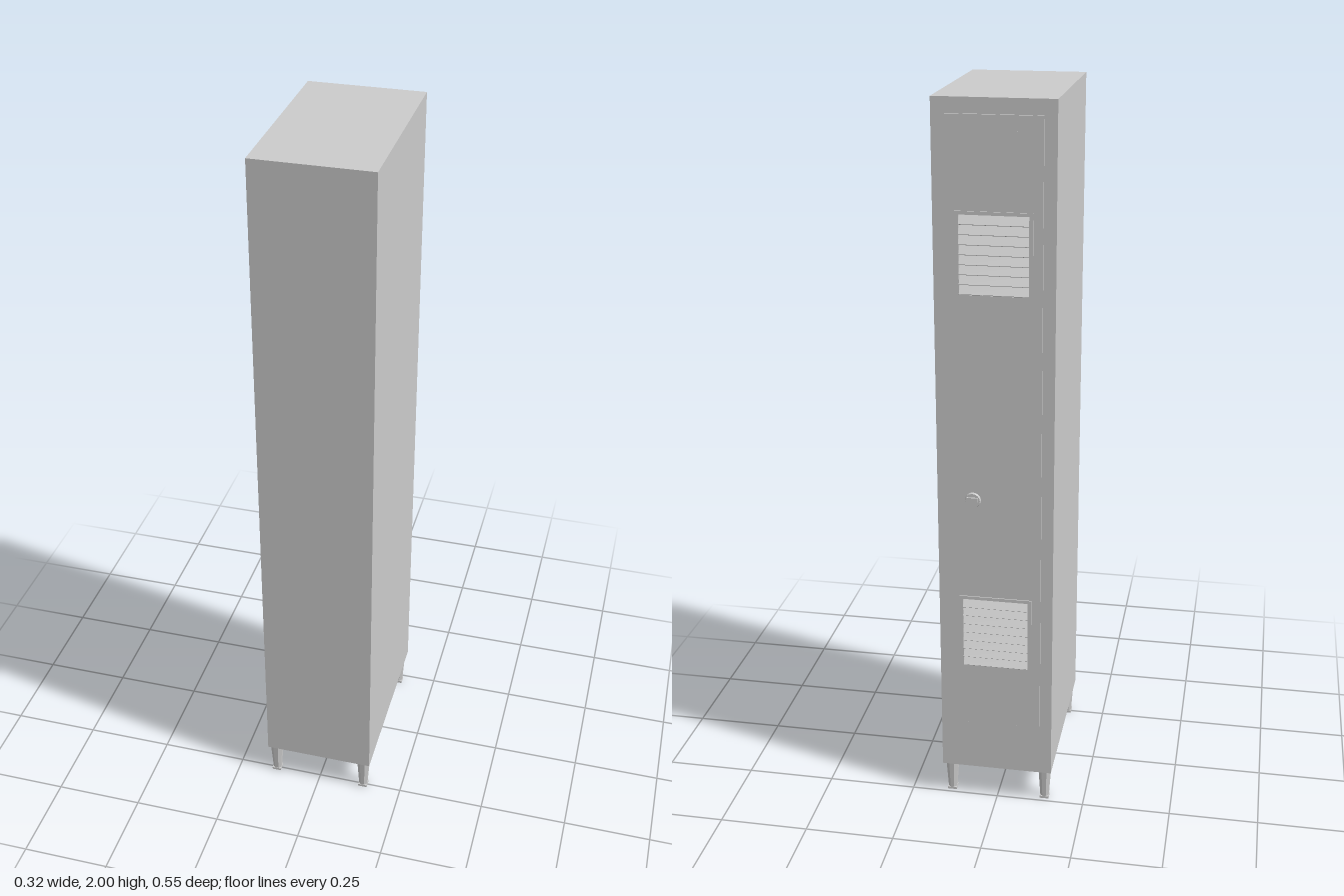
import * as THREE from 'three';

const material = new THREE.MeshStandardMaterial({ color: 0xcccccc, flatShading: true });
const VENT_Y = [1.61, 0.54];

function add(parent, name, geometry, x = 0, y = 0, z = 0) {
  const mesh = new THREE.Mesh(geometry, material);
  mesh.name = name;
  mesh.position.set(x, y, z);
  parent.add(mesh);
  return mesh;
}

function rect(target, x0, y0, x1, y1) {
  target.moveTo(x0, y0);
  target.lineTo(x1, y0);
  target.lineTo(x1, y1);
  target.lineTo(x0, y1);
  target.closePath();
  return target;
}

// Upright plate with rectangular openings, spanning zBack to zBack + depth
function plate(parent, name, x0, y0, x1, y1, zBack, depth, holes) {
  const shape = rect(new THREE.Shape(), x0, y0, x1, y1);
  for (const h of holes) shape.holes.push(rect(new THREE.Path(), ...h));
  const geometry = new THREE.ExtrudeGeometry(shape, { depth, bevelEnabled: false });
  return add(parent, name, geometry, 0, 0, zBack);
}

export function createModel() {
  const locker = new THREE.Group();
  locker.name = 'locker';

  // Cabinet body and the door panels with vent openings
  const openings = VENT_Y.map((y) => [-0.09, y - 0.103, 0.09, y + 0.103]);
  add(locker, 'cabinet', new THREE.BoxGeometry(0.316, 1.9, 0.521), 0, 1.05, 0.0105);
  plate(locker, 'doorFrame', -0.158, 0.1, 0.158, 2, -0.258, 0.008, openings);
  plate(locker, 'door', -0.125, 0.19, 0.122, 1.96, -0.264, 0.006, openings);

  // Louvred vents: a thin rim and sloping slats
  for (const y of VENT_Y) {
    const vent = new THREE.Group();
    vent.name = 'vent';
    locker.add(vent);
    plate(vent, 'ventRim', -0.1, y - 0.112, 0.1, y + 0.112, -0.267, 0.003,
      [[-0.09, y - 0.103, 0.09, y + 0.103]]);
    for (let i = 0; i < 8; i++) {
      const slat = add(vent, 'slat', new THREE.BoxGeometry(0.18, 0.003, 0.03),
        0, y - 0.09 + i * 0.0257, -0.2595);
      slat.rotation.x = -0.87;
    }
  }

  // Lock with a small turning grip
  const disc = new THREE.CylinderGeometry(0.02, 0.022, 0.006, 24).rotateX(-Math.PI / 2);
  add(locker, 'lockDisc', disc, 0.06, 0.94, -0.267);
  add(locker, 'lockGrip', new THREE.BoxGeometry(0.03, 0.012, 0.006), 0.06, 0.944, -0.272);

  // Rivets along the top and bottom of the door
  for (const y of [0.25, 1.92]) {
    for (const x of [-0.06, 0, 0.04, 0.08]) {
      const rivet = new THREE.CylinderGeometry(0.002, 0.002, 0.001, 8).rotateX(Math.PI / 2);
      add(locker, 'rivet', rivet, x, y, -0.2643);
    }
  }

  // Tapered legs with foot pads
  for (const x of [-0.136, 0.136]) {
    for (const z of [0.25, -0.225]) {
      const leg = new THREE.Group();
      leg.name = 'leg';
      leg.position.set(x, 0, z);
      locker.add(leg);
      const shaft = new THREE.CylinderGeometry(0.0195, 0.013, 0.094, 8).rotateY(Math.PI / 8);
      add(leg, 'legShaft', shaft, 0, 0.053, 0);
      add(leg, 'footPad', new THREE.BoxGeometry(0.026, 0.007, 0.026), 0, 0.0035, 0);
    }
  }
  return locker;
}
